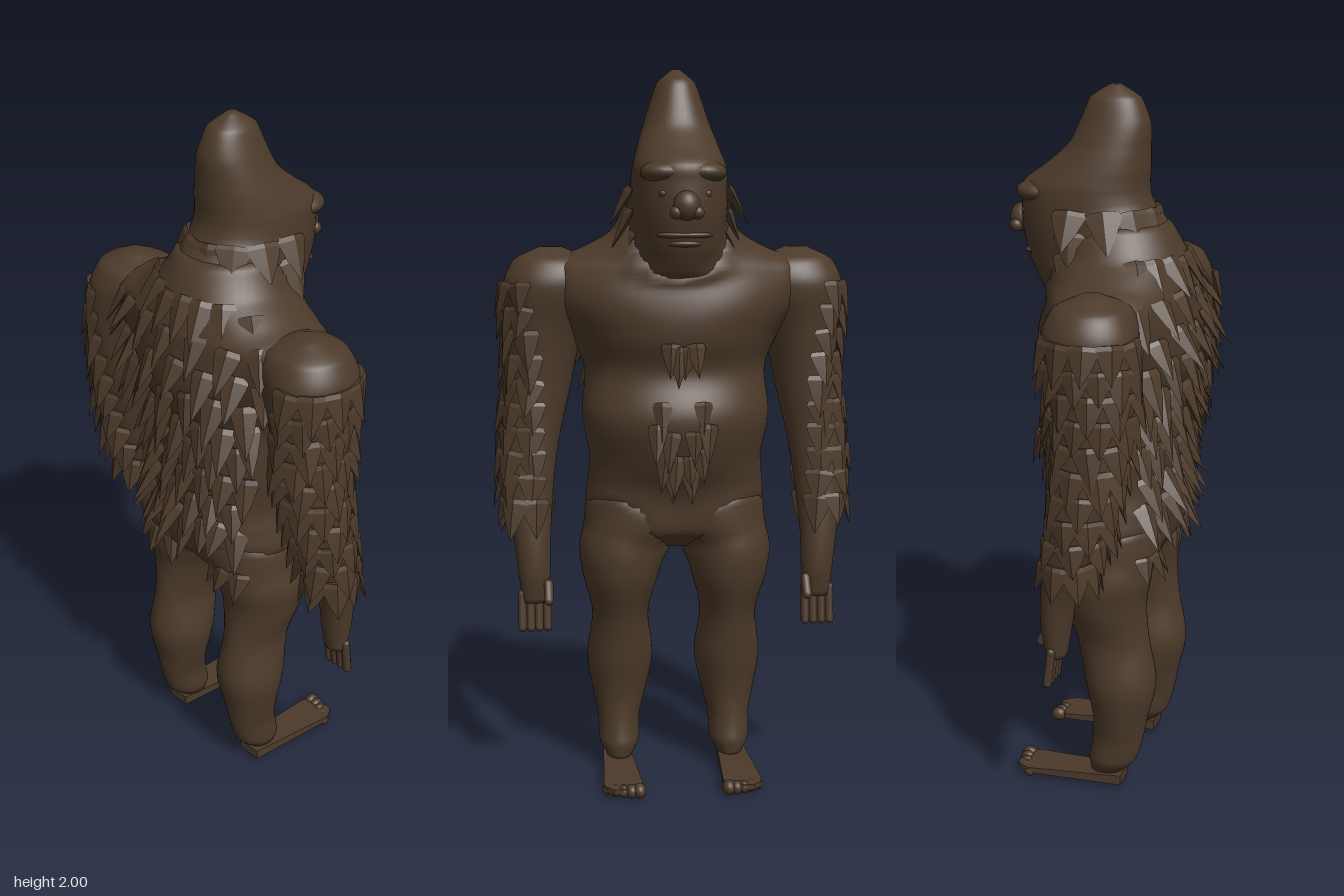
import * as THREE from 'three';
import { mergeGeometries, toCreasedNormals } from 'three/addons/utils/BufferGeometryUtils.js';

const fur = new THREE.MeshStandardMaterial({ color: 0x4c3a2a });
fur.name = 'brownFur';

// Cross-sections from bottom to top: [x, y, z, radius x, radius z]
const TORSO = [
  [-.03, .67, 0, .05, .06], [-.03, .72, 0, .12, .18], [-.03, .82, 0, .143, .238], [-.008, .92, 0, .176, .243],
  [.005, 1.05, 0, .2, .262], [-.015, 1.17, 0, .183, .25], [-.017, 1.27, 0, .215, .275],
  [-.02, 1.37, 0, .215, .325], [-.032, 1.46, 0, .192, .335], [-.035, 1.51, 0, .172, .265],
  [-.035, 1.56, 0, .153, .18], [-.01, 1.64, 0, .11, .11],
];
const HEAD = [
  [.05, 1.41, 0, .08, .05], [.055, 1.45, 0, .145, .098], [.055, 1.52, 0, .182, .122], [.06, 1.61, 0, .2, .132],
  [.08, 1.69, 0, .182, .132], [.083, 1.735, 0, .176, .128], [.05, 1.785, 0, .145, .114], [.018, 1.84, 0, .113, .096],
  [.002, 1.9, 0, .097, .077], [0, 1.965, 0, .069, .053], [0, 2, 0, .015, .012],
];
const ARM = [
  [.035, .52, .405, .028, .035], [.035, .6, .405, .042, .045], [.025, .7, .41, .05, .052], [-.015, .85, .418, .072, .072],
  [-.045, 1, .408, .085, .083], [-.06, 1.15, .385, .1, .09], [-.06, 1.3, .375, .118, .1],
  [-.05, 1.41, .37, .125, .112], [-.05, 1.48, .36, .098, .093], [-.05, 1.517, .35, .03, .03],
];
const LEG = [
  [-.025, .04, .162, .045, .035], [-.045, .085, .162, .07, .058], [-.06, .15, .162, .074, .06], [-.067, .22, .16, .08, .075],
  [-.067, .34, .157, .103, .095], [-.046, .46, .157, .105, .081], [-.02, .58, .157, .12, .108],
  [-.023, .67, .155, .13, .12], [-.03, .76, .138, .125, .113], [-.03, .86, .12, .09, .08],
];

let seed = 7;
const rand = () => (seed = (seed * 16807) % 2147483647) / 2147483647;
const mirrorZ = (secs, s) => secs.map(([x, y, z, a, b]) => [x, y, z * s, a, b]);

// Smooth body form through oval sections; power under 1 makes the ovals squarer
function makeForm(secs, power = 1) {
  const centre = new THREE.CatmullRomCurve3(secs.map(s => new THREE.Vector3(s[0], s[1], s[2])));
  const radius = new THREE.CatmullRomCurve3(secs.map(s => new THREE.Vector3(s[3], 0, s[4])));
  const bend = v => Math.sign(v) * Math.abs(v) ** power;
  const at = (t, a) => {
    const c = centre.getPoint(t), r = radius.getPoint(t), cos = Math.cos(a), sin = Math.sin(a);
    return {
      point: new THREE.Vector3(c.x + r.x * bend(cos), c.y, c.z + r.z * bend(sin)),
      normal: new THREE.Vector3(cos / r.x, 0, sin / r.z).normalize(),
    };
  };
  const find = y => {
    let lo = 0, hi = 1;
    for (let i = 0; i < 18; i++) {
      const m = (lo + hi) / 2;
      if (centre.getPoint(m).y < y) lo = m; else hi = m;
    }
    return lo;
  };
  const atHeight = (y, a) => at(find(y), a);
  // Approximate distance from a point to the surface
  const distance = p => {
    const t = find(p.y), c = centre.getPoint(t), r = radius.getPoint(t);
    const dx = p.x - c.x, dz = p.z - c.z, q = Math.hypot(dx / r.x, dz / r.z) + 1e-6;
    const d = Math.hypot(dx, dz) * (1 - 1 / q), over = Math.abs(p.y - c.y);
    return over > .001 ? Math.hypot(Math.max(d, 0), over) : d;
  };
  // Skin that swells softly where it meets the neighbouring forms
  const geometry = (neighbours, blend = .1) => {
    const N = 44, rows = (secs.length - 1) * 6, pos = [], idx = [];
    for (let j = 0; j <= rows; j++) for (let i = 0; i < N; i++) {
      const { point, normal } = at(j / rows, i / N * Math.PI * 2);
      const d = Math.min(...neighbours.map(f => Math.abs(f.distance(point))));
      const h = Math.max(0, 1 - d / blend);
      pos.push(...point.addScaledVector(normal, h * h * blend / 4).toArray());
    }
    for (let j = 0; j < rows; j++) for (let i = 0; i < N; i++) {
      const a = j * N + i, b = j * N + (i + 1) % N;
      idx.push(a, a + N, b, b, a + N, b + N);
    }
    const bottom = pos.length / 3, top = bottom + 1, last = rows * N;
    pos.push(...centre.getPoint(0).toArray(), ...centre.getPoint(1).toArray());
    for (let i = 0; i < N; i++) {
      const n = (i + 1) % N;
      idx.push(bottom, i, n, top, last + n, last + i);
    }
    const g = new THREE.BufferGeometry();
    g.setAttribute('position', new THREE.Float32BufferAttribute(pos, 3));
    g.setIndex(idx);
    g.computeVertexNormals();
    return g;
  };
  return { atHeight, distance, geometry };
}

// One broad leaf-shaped lock of fur lying on a form, tip lifted outward
const lock = toCreasedNormals(new THREE.LatheGeometry(
  [[0, 0], [.42, 0], [.5, .12], [.3, .55], [0, 1]].map(p => new THREE.Vector2(...p)), 4), .5);
function tuft(form, y, a, width, length, lift) {
  const { point, normal } = form.atHeight(y, a);
  const dir = new THREE.Vector3(0, -1, 0).addScaledVector(normal, lift * (.75 + .5 * rand())).normalize();
  const side = new THREE.Vector3().crossVectors(dir, normal).normalize();
  dir.addScaledVector(side, (rand() - .5) * .25).normalize();
  side.crossVectors(dir, normal).normalize();
  const out = new THREE.Vector3().crossVectors(side, dir);
  const m = new THREE.Matrix4().makeBasis(side, dir, out).setPosition(point);
  m.scale(new THREE.Vector3(width, length * (.85 + .3 * rand()), .03));
  return lock.clone().applyMatrix4(m);
}

export function createModel() {
  const model = new THREE.Group();
  const add = (name, geo, parent = model) => {
    const mesh = new THREE.Mesh(geo, fur);
    mesh.name = name;
    parent.add(mesh);
    return mesh;
  };
  const ball = (name, x, y, z, rx, ry, rz, parent) => {
    const mesh = add(name, new THREE.SphereGeometry(1, 24, 16), parent);
    mesh.position.set(x, y, z);
    mesh.scale.set(rx, ry, rz);
    return mesh;
  };

  const torso = makeForm(TORSO), head = makeForm(HEAD, .92);
  const arms = [1, -1].map(s => makeForm(mirrorZ(ARM, s)));
  const legs = [1, -1].map(s => makeForm(mirrorZ(LEG, s)));
  add('torso', torso.geometry([head, ...arms, ...legs]));
  add('head', head.geometry([torso], .06));

  // Face
  ball('nose', .27, 1.63, 0, .034, .04, .036);
  ball('upperLip', .224, 1.553, 0, .026, .012, .075);
  ball('lowerLip', .22, 1.53, 0, .026, .012, .05);
  for (const s of [1, -1]) {
    ball('brow', .196, 1.718, .052 * s, .066, .032, .064).rotation.y = s * -.35;
    ball('eye', .238, 1.662, .058 * s, .012, .011, .013);
    ball('nostril', .278, 1.612, .028 * s, .018, .018, .018);
  }

  // Back fur, from the nape to the seat
  const back = [];
  for (let r = 0; r < 9; r++) {
    const y = 1.55 - r * .083, n = 8 - r % 2, spread = 1.1 - .04 * r - .1 * (r % 2);
    for (let i = 0; i < n; i++)
      back.push(tuft(torso, y + (rand() - .5) * .03, Math.PI + (i / (n - 1) - .5) * 2 * spread,
        .075, .13, r < 3 || r > 6 ? .65 : .45));
  }
  add('backFur', mergeGeometries(back));

  // Collar of fur around the back and sides of the neck
  const collar = [];
  for (let r = 0; r < 3; r++) for (let i = 0; i < 8; i++)
    collar.push(tuft(head, 1.68 - r * .06, Math.PI + (i / 7 - .5) * (3.2 + .1 * r), .1, .11, .5));
  add('collarFur', mergeGeometries(collar));

  // Chest and belly fur: [height, sideways angle]
  const chest = [[1.26, .12], [1.25, .04], [1.1, .22], [1.04, .27], [1.02, .12], [.97, .18], [.95, .06], [.91, .1]];
  add('chestFur', mergeGeometries(chest.flatMap(([y, a]) =>
    [1, -1].map(s => tuft(torso, y, a * s, .055, .105, .28)))));

  [1, -1].forEach((s, k) => {
    const side = s > 0 ? 'left' : 'right';

    // Arm and hand
    const arm = new THREE.Group();
    arm.name = side + 'Arm';
    model.add(arm);
    add('armBody', arms[k].geometry([torso]), arm);
    for (let i = 0; i < 4; i++) {
      const f = add('finger', new THREE.CapsuleGeometry(.0125, .095, 4, 10), arm);
      f.position.set(.045, .495, (.37 + i * .0235) * s);
      f.rotation.z = .12;
    }
    const thumb = add('thumb', new THREE.CapsuleGeometry(.014, .05, 4, 10), arm);
    thumb.position.set(.08, .555, .367 * s);
    thumb.rotation.z = .6;

    // Overlapping arm fur, wrapping further round toward the wrist
    const locks = [];
    for (let r = 0; r < 10; r++) {
      const y = 1.42 - r * .067, spread = 1.1 + r * .1, n = 5 + r % 2;
      for (let i = 0; i < n; i++)
        locks.push(tuft(arms[k], y, s * (Math.PI * .56 + (i / (n - 1) - .5) * 2 * spread), .085, .105, .25));
    }
    add('armFur', mergeGeometries(locks), arm);

    // Leg
    const leg = new THREE.Group();
    leg.name = side + 'Leg';
    model.add(leg);
    add('legBody', legs[k].geometry([torso]), leg);
    const seat = [0, 1, 2].map(i => tuft(legs[k], .74, Math.PI + (i - 1) * .45, .07, .09, .4));
    add('seatFur', mergeGeometries(seat), leg);

    // Thin wedge foot with rounded front corners and round toes
    const sole = new THREE.BoxGeometry(.32, .03, .1, 16, 1, 1), p = sole.attributes.position;
    for (let i = 0; i < p.count; i++) {
      const u = p.getX(i) / .32 + .5, round = 1 - .5 * Math.max(0, (u - .85) / .15) ** 2;
      p.setXYZ(i, p.getX(i) + .08, p.getY(i) * (1 - .5 * u) + .03 - .008 * u,
        p.getZ(i) * (.75 + .4 * u) * round + .168 * s);
    }
    sole.computeVertexNormals();
    add('foot', sole, leg);
    for (let i = 0; i < 5; i++) {
      const r = .021 - i * .0015;
      ball('toe', .23 - i * i * .002, r, (.125 + i * .022) * s, r * 1.1, r, r * .85, leg);
    }
  });
  return model;
}
